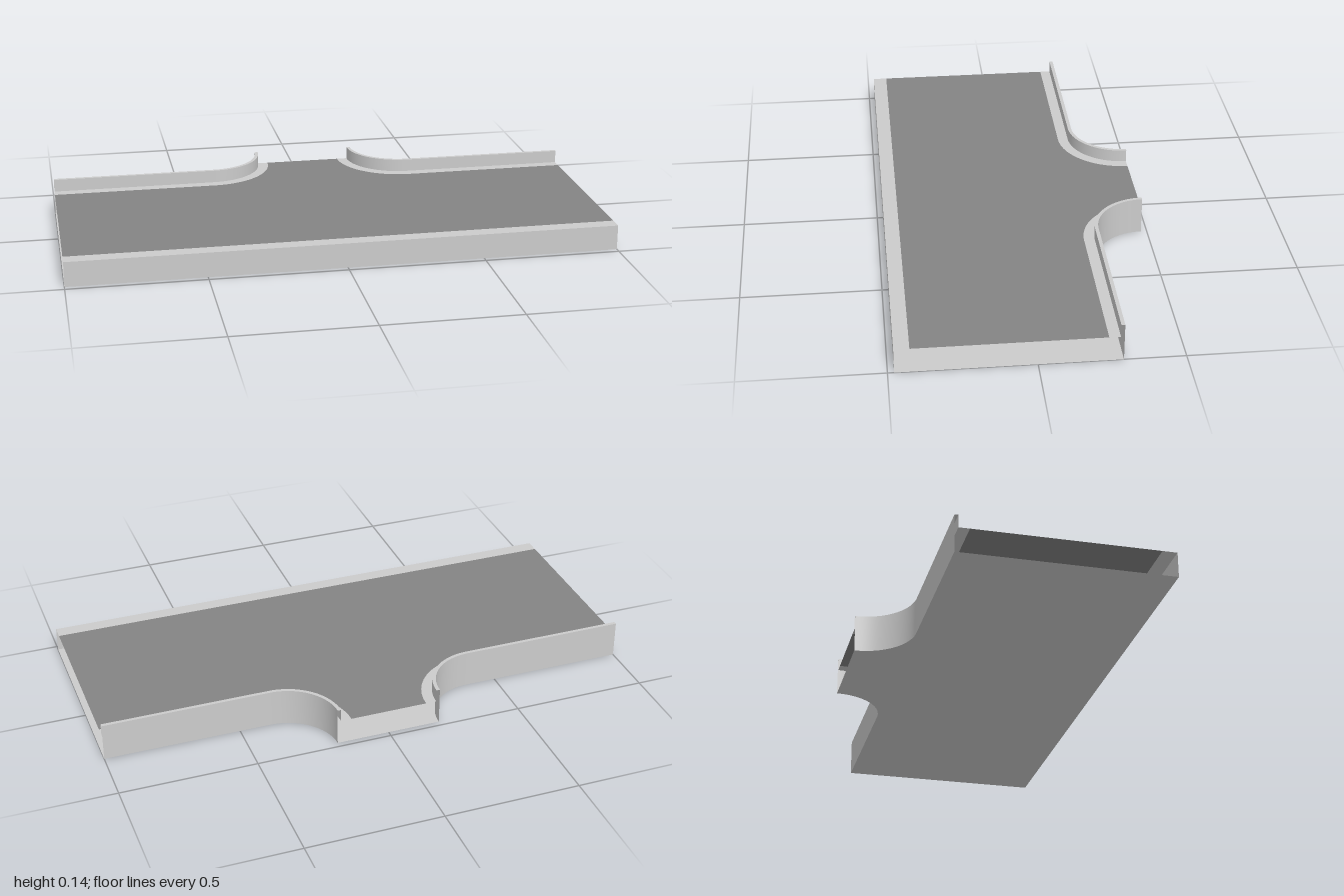
import * as THREE from 'three';

const HALF_X = 1, HALF_Z = 0.478;     // plan extents
const ROAD_Y = 0.092, LIP_Y = 0.139;  // deck height, top of the back lip
const CORNER_X = 0.385, RADIUS = 0.19; // centre and radius of the flared corner

const light = new THREE.MeshStandardMaterial({ color: 0xcccccc, side: THREE.DoubleSide });
const dark = new THREE.MeshStandardMaterial({ color: 0x848484, side: THREE.DoubleSide });

// Back edge in plan [x, z], from the +x end round the corner to the side exit
function backEdge(inset) {
  const r = RADIUS + inset, points = [[HALF_X, r - HALF_Z]], steps = 24;
  for (let i = 0; i <= steps; i++) {
    const a = (i / steps) * Math.PI / 2;
    points.push([CORNER_X - r * Math.sin(a), r * Math.cos(a) - HALF_Z]);
  }
  // the radius grows toward the deck, which lies at +z from the corner centre
  return points;
}

// Strip of surface between two matching plan paths at two heights
function ribbon(name, pathA, yA, pathB, yB) {
  const position = [], index = [];
  pathA.forEach(([x, z], i) => {
    position.push(x, yA, z, pathB[i][0], yB, pathB[i][1]);
    if (i > 0) {
      const k = 2 * (i - 1);
      index.push(k, k + 2, k + 1, k + 1, k + 2, k + 3);
    }
  });
  const geometry = new THREE.BufferGeometry();
  geometry.setAttribute('position', new THREE.Float32BufferAttribute(position, 3));
  geometry.setIndex(index);
  geometry.computeVertexNormals();
  const mesh = new THREE.Mesh(geometry, light);
  mesh.name = name;
  return mesh;
}

// Flat sheet bounded by the mirrored back edge and a straight front; up = 1 or -1
function sheet(name, inset, frontZ, y, up, material) {
  const right = backEdge(inset);
  const left = right.map(([x, z]) => [-x, z]).reverse();
  const outline = [[HALF_X, frontZ], ...right, ...left, [-HALF_X, frontZ]];
  const shape = new THREE.Shape(outline.map(([x, z]) => new THREE.Vector2(x, -up * z)));
  const geometry = new THREE.ShapeGeometry(shape).rotateX(-up * Math.PI / 2);
  const mesh = new THREE.Mesh(geometry, material);
  mesh.position.y = y;
  mesh.name = name;
  return mesh;
}

// Outer wall, raised lip and curb along one half of the back
function backSide(name) {
  const outer = backEdge(0), inner = backEdge(0.013), curb = backEdge(0.052);
  const group = new THREE.Group();
  group.name = name;
  group.add(
    ribbon('outerWall', outer, 0, outer, LIP_Y),
    ribbon('lipTop', outer, LIP_Y, inner, LIP_Y),
    ribbon('lipInside', inner, LIP_Y, inner, ROAD_Y),
    ribbon('backCurb', inner, ROAD_Y, curb, ROAD_Y)
  );
  return group;
}

export function createModel() {
  const model = new THREE.Group();
  model.name = 'roadJunction';

  // Hollow deck, open at both ends and at the side exit
  const curbZ = 0.425;
  model.add(sheet('roadSurface', 0.052, curbZ, ROAD_Y, 1, dark));
  model.add(sheet('floor', 0, HALF_Z, 0, -1, light));

  // Straight front edge
  const front = [[-HALF_X, HALF_Z], [HALF_X, HALF_Z]];
  const frontCurb = [[-HALF_X, curbZ], [HALF_X, curbZ]];
  model.add(ribbon('frontWall', front, 0, front, ROAD_Y));
  model.add(ribbon('frontCurb', front, ROAD_Y, frontCurb, ROAD_Y));

  // Mirrored back edges
  const right = backSide('rightBackSide');
  right.scale.x = -1;
  model.add(backSide('leftBackSide'), right);
  return model;
}
